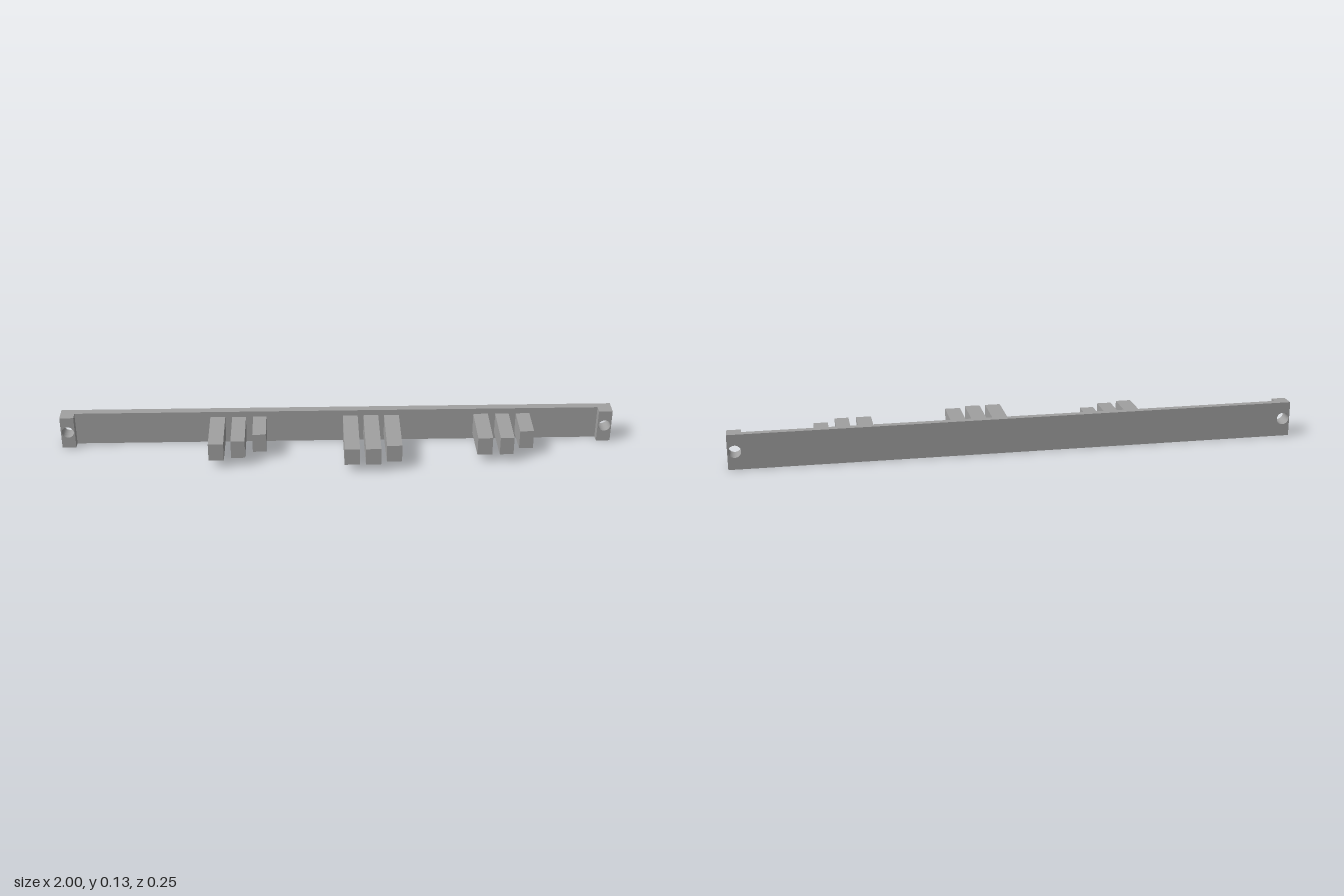
import * as THREE from 'three';

const BACK = -0.127, BAR_FRONT = -0.1, LUG_FRONT = -0.07, MID = 0.063;

// Narrow a geometry vertically towards +z, as a moulded part's draft
function draft(geometry, slope, z0) {
  const p = geometry.attributes.position;
  for (let i = 0; i < p.count; i++) {
    const y = p.getY(i) - MID;
    const shrink = 1 - slope * (p.getZ(i) - z0);
    p.setY(i, MID + y * shrink);
  }
  geometry.computeVertexNormals();
  return geometry;
}

function box(x0, x1, y0, y1, z0, z1) {
  return new THREE.BoxGeometry(x1 - x0, y1 - y0, z1 - z0)
    .translate((x0 + x1) / 2, (y0 + y1) / 2, (z0 + z1) / 2);
}

export function createModel() {
  const group = new THREE.Group();
  const grey = new THREE.MeshStandardMaterial({ color: 0xa0a0a0 });
  grey.name = 'plain grey';

  const add = (name, geometry) => {
    const mesh = new THREE.Mesh(geometry, grey);
    mesh.name = name;
    group.add(mesh);
  };

  // Long flat bar between the end lugs
  add('bar', draft(box(-0.95, 0.95, 0, 0.126, BACK, BAR_FRONT), 0.6, BACK));

  // Thicker end lugs with a screw hole through each
  for (const side of [-1, 1]) {
    const shape = new THREE.Shape([
      new THREE.Vector2(-0.025, 0), new THREE.Vector2(0.025, 0),
      new THREE.Vector2(0.025, 0.126), new THREE.Vector2(-0.025, 0.126),
    ]);
    const hole = new THREE.Path();
    hole.absarc(0, 0.065, 0.022, 0, Math.PI * 2, true);
    shape.holes.push(hole);
    const lug = new THREE.ExtrudeGeometry(shape, {
      depth: LUG_FRONT - BACK, bevelEnabled: false, curveSegments: 20,
    });
    lug.translate(side * 0.975, 0, BACK);
    add(side > 0 ? 'leftLug' : 'rightLug', draft(lug, 0.6, BACK));
  }

  // Three clusters of tapered teeth: [x start, x end, front z]
  const clusters = {
    rightTooth: [[-0.46, -0.406, 0.083], [-0.381, -0.331, 0.066], [-0.305, -0.257, 0.023]],
    middleTooth: [[0.021, 0.075, 0.127], [0.096, 0.15, 0.127], [0.171, 0.225, 0.107]],
    leftTooth: [[0.497, 0.55, 0.066], [0.577, 0.626, 0.066], [0.652, 0.702, 0.023]],
  };
  for (const [name, teeth] of Object.entries(clusters)) {
    teeth.forEach(([x0, x1, front], i) => {
      add(name + (i + 1), draft(box(x0, x1, 0.024, 0.104, -0.105, front), 0.95, -0.105));
    });
  }
  return group;
}
